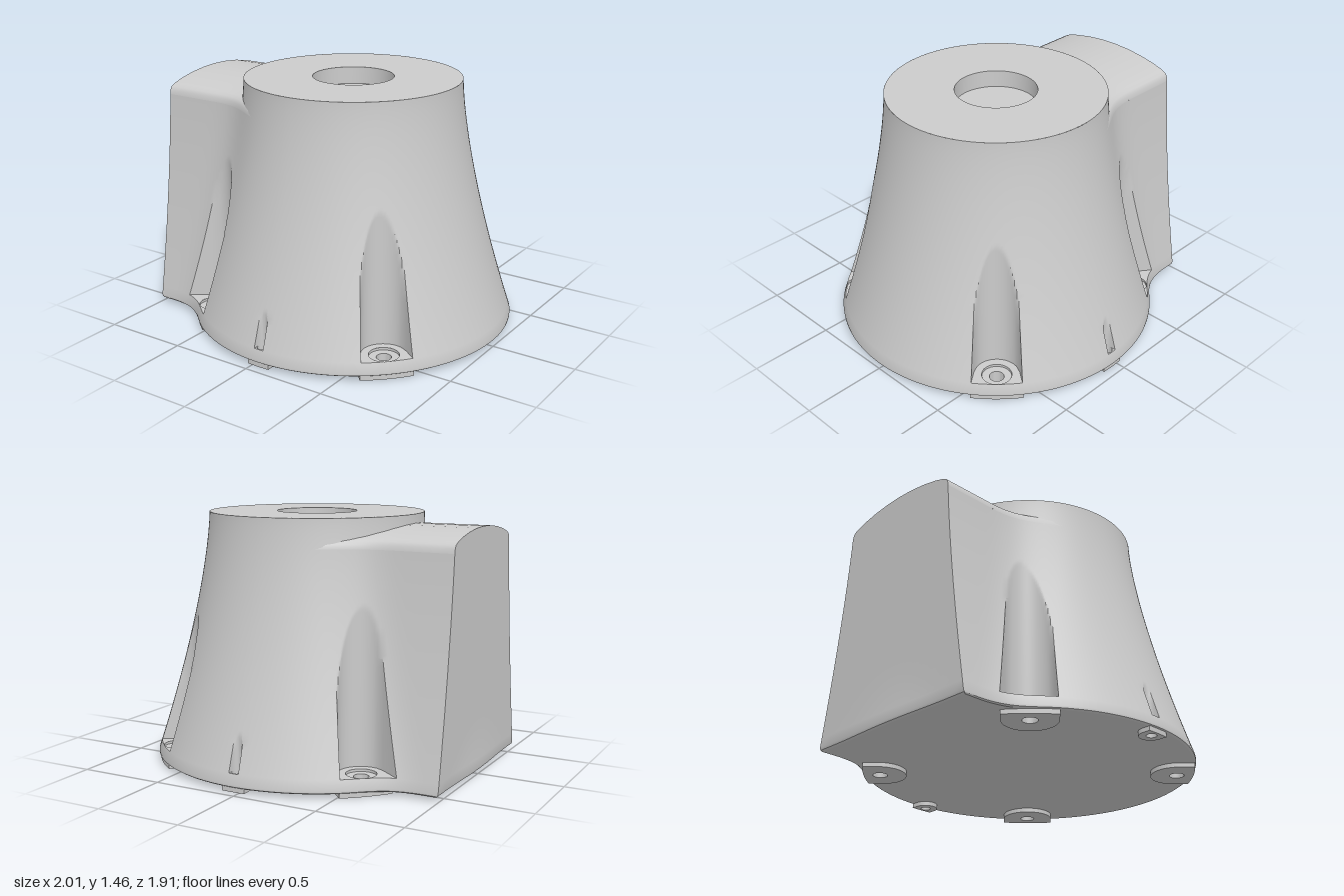
import * as THREE from 'three';
import { toCreasedNormals } from 'three/addons/utils/BufferGeometryUtils.js';

const CX = 0.04, TOP = 1.455, FLOOR = 0.1, BASE = 0.025, ROOF = 1.29;
const DEG = Math.PI / 180;
const BOLT = { d: 0.85, r: 0.13 }, PIN = { d: 0.9, r: 0.029 };

// Flared profile of the round body, and half width of the side housing
const bodyRadius = y => 0.63 + 0.33 * Math.pow(Math.max(0, (TOP - y) / (TOP - BASE)), 1.45);
const housingWidth = y => 0.585 - 0.53 * (0.96 - bodyRadius(y));
const cornerAngle = y => Math.atan2(housingWidth(y), 1 + CX);

// Distance from the axis to the outer skin; phi = 0 points at the housing (-x)
function skin(phi, y, housing = true) {
  const b = bodyRadius(y);
  if (!housing || phi > 1.4) return b;
  const a = Math.min((1 + CX) / Math.cos(phi), housingWidth(y) / Math.max(Math.sin(phi), 1e-6));
  const k = 0.18, h = Math.max(k - Math.abs(a - b), 0) / k;
  return Math.max(a, b) + h * h * k / 4;
}

// Columns around half the body: doubled at pocket edges so the walls stay crisp
function makeColumns() {
  const cols = [];
  const half = p => Math.asin(p.r / p.d) / DEG;
  const hb = half(BOLT), hp = half(PIN);
  const span = (a, b, n, cut, at) => {
    for (let i = 0; i <= n; i++) {
      const f = i / n;
      cols.push({
        side: 1, cut, at: at * DEG,
        phi: y => {
          const A = a === 'corner' ? cornerAngle(y) : a * DEG;
          const B = b === 'corner' ? cornerAngle(y) : b * DEG;
          return A + (B - A) * f;
        },
      });
    }
  };
  span(0, 'corner', 8);
  span('corner', 45 - hb, 8);
  span(45 - hb, 45 + hb, 24, BOLT, 45);
  span(45 + hb, 90 - hp, 14);
  span(90 - hp, 90 + hp, 8, PIN, 90);
  span(90 + hp, 135 - hb, 14);
  span(135 - hb, 135 + hb, 24, BOLT, 135);
  span(135 + hb, 180, 14);
  return cols.concat(cols.map(c => ({ ...c, side: -1 })).reverse());
}
const columns = makeColumns();

function ring(y, { cut = false, housing = true, inset = 0 } = {}) {
  return columns.map(c => {
    const phi = c.phi(y);
    let t = skin(phi, y, housing) - inset;
    if (cut && c.cut) {
      const { d, r } = c.cut, off = phi - c.at;
      t = Math.min(t, d * Math.cos(off) - Math.sqrt(Math.max(0, r * r - (d * Math.sin(off)) ** 2)));
    }
    return [CX - t * Math.cos(phi), y, t * Math.sin(phi) * c.side];
  });
}

// Surface through rows of points
function loft(rows) {
  const n = rows[0].length, index = [];
  for (let j = 0; j < rows.length - 1; j++) {
    for (let i = 0; i < n - 1; i++) {
      const a = j * n + i, d = a + n;
      index.push(a, a + 1, d + 1, a, d + 1, d);
    }
  }
  const g = new THREE.BufferGeometry();
  g.setAttribute('position', new THREE.Float32BufferAttribute(rows.flat(2), 3));
  g.setIndex(index);
  return toCreasedNormals(g.toNonIndexed(), 35 * DEG);
}

const steps = (a, b, n) => Array.from({ length: n + 1 }, (_, i) => a + (b - a) * i / n);

export function createModel() {
  const group = new THREE.Group();
  const material = new THREE.MeshStandardMaterial({ color: 0xcccccc, side: THREE.DoubleSide });
  const add = (name, geometry, x = 0, y = 0, z = 0) => {
    const mesh = new THREE.Mesh(geometry, material);
    mesh.name = name;
    mesh.position.set(x, y, z);
    group.add(mesh);
    return mesh;
  };
  const lathe = (pts, n) => toCreasedNormals(
    new THREE.LatheGeometry(pts.map(p => new THREE.Vector2(...p)), n).toNonIndexed(), 35 * DEG);

  // Outer shell with its vertical bolt pockets, and the plain skirt below them
  add('shell', loft([
    ...steps(FLOOR, ROOF, 64).map(y => ring(y, { cut: true })),
    ...steps(ROOF, TOP, 8).map(y => ring(y, { housing: false })),
  ]));
  add('skirt', loft([ring(BASE, { inset: 0.018 }), ring(0.032, { inset: 0.005 }), ring(0.045), ring(FLOOR)]));

  // Arched roof of the side housing, seamed to the top of its walls
  const c0 = cornerAngle(ROOF);
  const plan = steps(c0, 62 * DEG, 24).map(phi => {
    const t = skin(phi, ROOF);
    return [CX - t * Math.cos(phi), t * Math.sin(phi)];
  });
  const arch = [[1, ROOF], [0.99, 1.315], [0.96, 1.335], [0.9, 1.348], [0.75, 1.367], [0.5, 1.388], [0.25, 1.4], [0, 1.404]];
  const section = [...arch, ...arch.slice(0, -1).reverse().map(([k, y]) => [-k, y])];
  add('housingRoof', loft(section.map(([k, y]) => [[-1, ROOF, 0], ...plan.map(([x, z]) => [x, y, z * k])])));

  // Top face with its shallow round recess
  add('topFace', lathe([[0, 1.355], [0.235, 1.355], [0.235, TOP], [0.63, TOP]], 96), CX);

  // Mounting points: four bolts and two small pins
  const mounts = [
    ...[45, 135, 225, 315].map(a => ({ ...BOLT, name: 'bolt', a: a * DEG, hole: 0.042, seat: 0.085, pad: 0.15 })),
    ...[90, 270].map(a => ({ ...PIN, name: 'pin', a: a * DEG, hole: 0.029, seat: 0.029, pad: 0.07 })),
  ];
  const place = m => [CX + m.d * Math.cos(m.a), m.d * Math.sin(m.a)];

  // Pocket floor and underside, pierced at the mounting points
  const plate = (name, y, points, size) => {
    const shape = new THREE.Shape(points.map(([x, , z]) => new THREE.Vector2(x, -z)));
    for (const m of mounts) {
      const [x, z] = place(m);
      shape.holes.push(new THREE.Path().absarc(x, -z, m[size], 0, Math.PI * 2, true));
    }
    add(name, new THREE.ShapeGeometry(shape, 24).rotateX(-Math.PI / 2), 0, y, 0);
  };
  plate('pocketFloor', FLOOR, ring(FLOOR), 'seat');
  plate('underside', BASE, ring(BASE, { inset: 0.018 }), 'hole');

  for (const m of mounts) {
    const [x, z] = place(m);
    // Counterbored sleeve through the base
    add(m.name + 'Hole', lathe([[m.hole, 0], [m.hole, 0.085], [m.seat, 0.085], [m.seat, FLOOR]], 32), x, 0, z);
    // Foot pad: rounded inside, following the rim outside
    const rim = 0.945, b = Math.asin(m.pad / rim);
    const shape = new THREE.Shape();
    shape.absarc(0, 0, m.pad, Math.PI / 2, Math.PI * 1.5, false);
    shape.absarc(-m.d, 0, rim, -b, b, false);
    shape.closePath();
    shape.holes.push(new THREE.Path().absarc(0, 0, m.hole, 0, Math.PI * 2, true));
    const pad = new THREE.ExtrudeGeometry(shape, { depth: BASE + 0.003, bevelEnabled: false, curveSegments: 24 });
    add(m.name + 'Pad', pad.rotateX(-Math.PI / 2), x, 0, z).rotation.y = -m.a;
  }
  return group;
}
